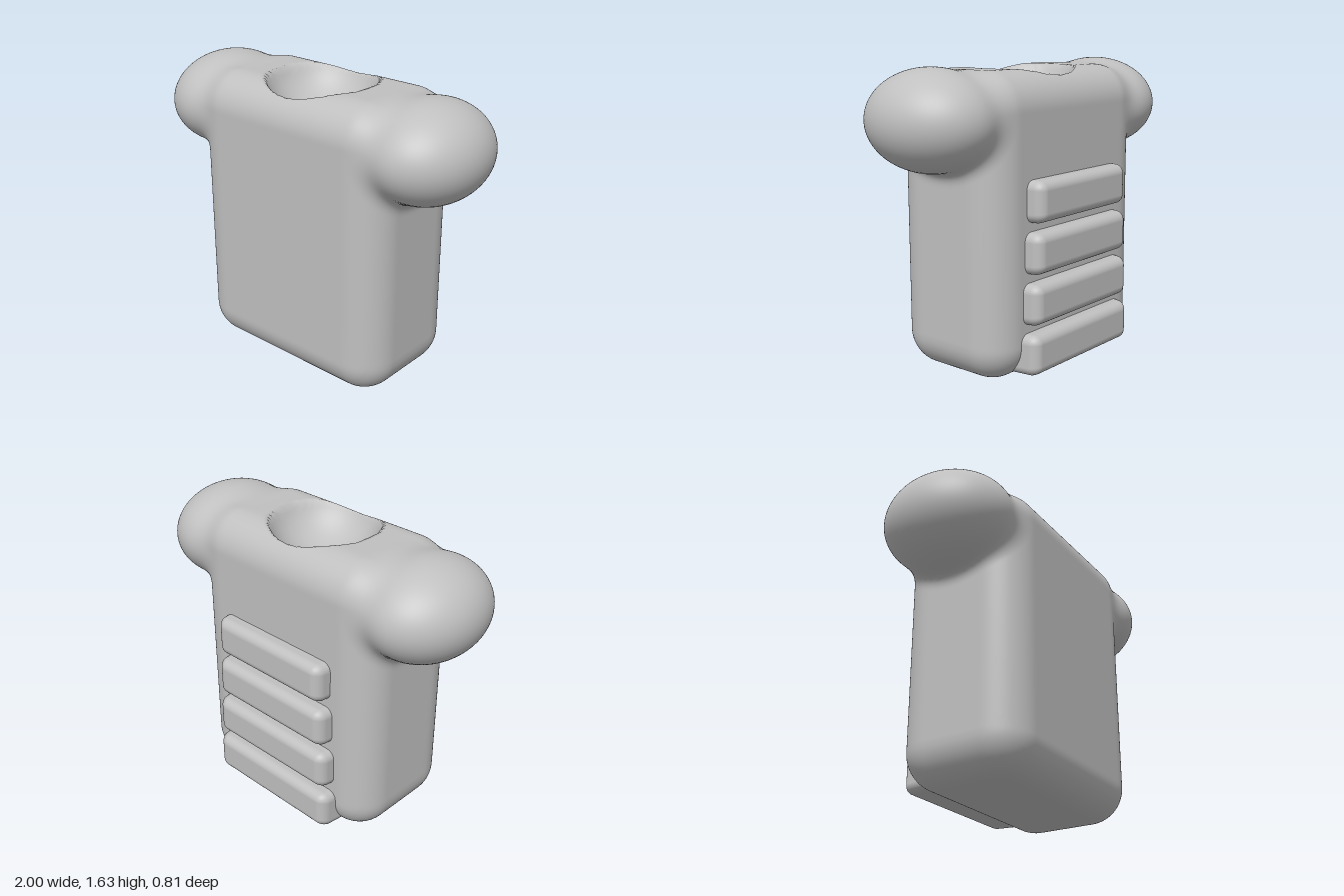
import * as THREE from 'three';
import { mergeVertices } from 'three/addons/utils/BufferGeometryUtils.js';
import { RoundedBoxGeometry } from 'three/addons/geometries/RoundedBoxGeometry.js';

const MID_Z = 0.04;

// Signed distance to the trunk: a box with rounded edges
function trunkDistance(x, y, z) {
  const r = 0.2;
  const qx = Math.abs(x) - 0.635 + r;
  const qy = Math.abs(y - 0.805) - 0.805 + r;
  const qz = Math.abs(z - MID_Z) - 0.364 + r;
  return Math.hypot(Math.max(qx, 0), Math.max(qy, 0), Math.max(qz, 0))
    + Math.min(Math.max(qx, qy, qz), 0) - r;
}

// Approximate signed distance to the mirrored shoulder ellipsoids
function shoulderDistance(x, y, z) {
  const [rx, ry, rz] = [0.31, 0.265, 0.365];
  const dx = Math.abs(x) - 0.69, dy = y - 1.37, dz = z - MID_Z;
  const k0 = Math.hypot(dx / rx, dy / ry, dz / rz);
  const k1 = Math.hypot(dx / rx ** 2, dy / ry ** 2, dz / rz ** 2);
  return k1 < 1e-6 ? -ry : k0 * (k0 - 1) / k1;
}

// Both shapes joined with a soft fillet
function bodyDistance(x, y, z) {
  const a = trunkDistance(x, y, z), b = shoulderDistance(x, y, z), k = 0.08;
  const h = Math.max(k - Math.abs(a - b), 0) / k;
  return Math.min(a, b) - h * h * k / 4;
}

// Push the vertices of a fine box out to the body surface, then press in the neck socket
function bodyGeometry() {
  const box = new THREE.BoxGeometry(1.5, 1.61, 0.73, 80, 110, 50).translate(0, 0.805, MID_Z);
  box.deleteAttribute('uv');
  box.deleteAttribute('normal');
  const geometry = mergeVertices(box);
  geometry.clearGroups();
  const pos = geometry.attributes.position;
  const centre = new THREE.Vector3(0, 1.3, MID_Z);
  const dir = new THREE.Vector3(), p = new THREE.Vector3();
  for (let i = 0; i < pos.count; i++) {
    dir.fromBufferAttribute(pos, i).sub(centre).normalize();
    let near = 0, far = 2;
    for (let step = 0; step < 26; step++) {
      const t = (near + far) / 2;
      p.copy(centre).addScaledVector(dir, t);
      if (bodyDistance(p.x, p.y, p.z) < 0) near = t;
      else far = t;
    }
    // Spherical socket in the top
    const d2 = p.x ** 2 + (p.z - 0.05) ** 2, R = 0.32;
    if (p.y > 1.35 && d2 < R * R) p.y = Math.min(p.y, 1.72 - Math.sqrt(R * R - d2));
    pos.setXYZ(i, p.x, p.y, p.z);
  }
  geometry.computeVertexNormals();
  return geometry;
}

export function createModel() {
  const model = new THREE.Group();
  model.name = 'torso';
  const grey = new THREE.MeshStandardMaterial({ color: 0xc0c0c0 });
  grey.name = 'grey';

  const body = new THREE.Mesh(bodyGeometry(), grey);
  body.name = 'body';
  model.add(body);

  // Four padded bars on the back, slightly wider towards the bottom
  const bars = new THREE.Group();
  bars.name = 'backBars';
  for (let i = 0; i < 4; i++) {
    const width = 2 * (0.445 - 0.015 * i);
    const geometry = new RoundedBoxGeometry(width, 0.225, 0.2, 5, 0.05);
    const pos = geometry.attributes.position;
    // Narrow the outer face so that the ends slope
    for (let j = 0; j < pos.count; j++) {
      const out = THREE.MathUtils.clamp((-pos.getZ(j) - 0.02) / 0.08, 0, 1);
      pos.setX(j, pos.getX(j) * (1 - 0.07 * out));
      pos.setY(j, pos.getY(j) * (1 - 0.06 * out));
    }
    const bar = new THREE.Mesh(geometry, grey);
    bar.name = 'backBar';
    bar.position.set(0, 0.152 + 0.268 * i, -0.31);
    bars.add(bar);
  }
  model.add(bars);
  return model;
}
